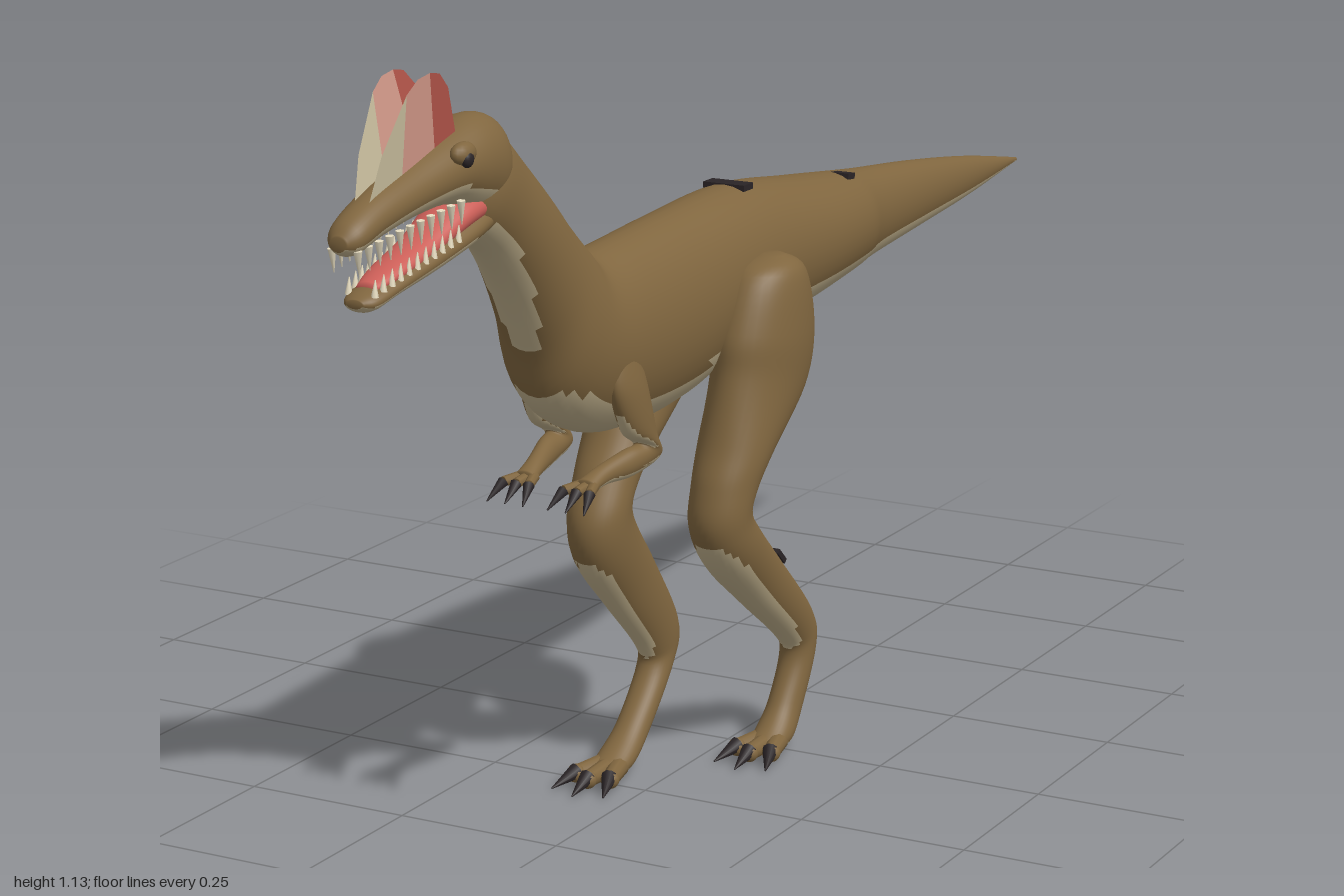
import * as THREE from 'three';

const mat = (name, color, side = THREE.FrontSide) => {
  const m = new THREE.MeshStandardMaterial({ color, side });
  m.name = name;
  return m;
};
const brown = mat('brown hide', 0x80663f);
const cream = mat('pale underside', 0xc0b08c);
const dark = mat('dark claw', 0x2a2426);
const ivory = mat('tooth ivory', 0xe6dcc0);
const pink = mat('mouth pink', 0xcc5f58);
const crestPale = mat('crest pale', 0xcabf9f, THREE.DoubleSide);
const crestPink = mat('crest pink', 0xd49a8a, THREE.DoubleSide);
const crestRed = mat('crest red', 0xb4564a, THREE.DoubleSide);

const SIDES = 36, STEPS = 6;

// Catmull-Rom blend of all the numbers in four neighbouring stations
const blend = (p0, p1, p2, p3, t) => p1.map((b, k) => {
  const a = p0[k], c = p2[k], d = p3[k];
  return 0.5 * (2 * b + (c - a) * t + (2 * a - 5 * b + 4 * c - d) * t * t + (3 * b - a - 3 * c + d) * t * t * t);
});

// Smooth skin over oval rings: [zTop, yTop, zBottom, yBottom, xCentre, halfWidth].
// Faces that look downward take the second material.
function loft(name, stations, materials = [brown, cream], limit = -0.42) {
  const rings = [], n = stations.length;
  for (let i = 0; i < n - 1; i++) {
    for (let s = 0; s < STEPS; s++) {
      rings.push(blend(stations[Math.max(i - 1, 0)], stations[i], stations[i + 1], stations[Math.min(i + 2, n - 1)], s / STEPS));
    }
  }
  rings.push(stations[n - 1]);
  const pos = [];
  for (const [zt, yt, zb, yb, x, w] of rings) {
    for (let j = 0; j < SIDES; j++) {
      const a = j / SIDES * Math.PI * 2, c = Math.cos(a) / 2;
      pos.push(x + Math.max(w, 0.001) * Math.sin(a), (yt + yb) / 2 + (yt - yb) * c, (zt + zb) / 2 + (zt - zb) * c);
    }
  }
  const last = rings.length - 1, start = rings.length * SIDES;
  for (const r of [rings[0], rings[last]]) pos.push(r[4], (r[1] + r[3]) / 2, (r[0] + r[2]) / 2);
  const tris = [];
  for (let j = 0; j < SIDES; j++) {
    const k = (j + 1) % SIDES;
    for (let i = 0; i < last; i++) {
      const a = i * SIDES, b = a + SIDES;
      tris.push([a + j, b + j, a + k], [a + k, b + j, b + k]);
    }
    tris.push([start, j, k], [start + 1, last * SIDES + k, last * SIDES + j]);
  }
  const upper = [], lower = [], tri = new THREE.Triangle(), normal = new THREE.Vector3();
  const at = (v, i) => v.fromArray(pos, i * 3);
  for (const t of tris) {
    at(tri.a, t[0]); at(tri.b, t[1]); at(tri.c, t[2]);
    tri.getNormal(normal);
    (normal.y < limit ? lower : upper).push(...t);
  }
  const g = new THREE.BufferGeometry();
  g.setAttribute('position', new THREE.Float32BufferAttribute(pos, 3));
  g.setIndex([...upper, ...lower]);
  g.addGroup(0, upper.length, 0);
  g.addGroup(upper.length, lower.length, 1);
  g.computeVertexNormals();
  const mesh = new THREE.Mesh(g, materials);
  mesh.name = name;
  return mesh;
}

// Tapered rod from point a to point b
function rod(name, a, b, ra, rb, material, sides = 10) {
  const A = new THREE.Vector3(...a), B = new THREE.Vector3(...b), d = B.clone().sub(A);
  const mesh = new THREE.Mesh(new THREE.CylinderGeometry(rb, ra, d.length(), sides), material);
  mesh.position.copy(A).add(B).multiplyScalar(0.5);
  mesh.quaternion.setFromUnitVectors(new THREE.Vector3(0, 1, 0), d.normalize());
  mesh.name = name;
  return mesh;
}

function ball(name, p, r, material, scale = [1, 1, 1]) {
  const mesh = new THREE.Mesh(new THREE.SphereGeometry(r, 16, 12), material);
  mesh.position.set(...p);
  mesh.scale.set(...scale);
  mesh.name = name;
  return mesh;
}

function plate(name, p, size, tilt) {
  const mesh = new THREE.Mesh(new THREE.BoxGeometry(...size), dark);
  mesh.position.set(...p);
  mesh.rotation.x = tilt;
  mesh.name = name;
  return mesh;
}

// One leg; the reach grows toward the foot to give the stride
function makeLeg(side, stride) {
  const leg = new THREE.Group();
  leg.name = side > 0 ? 'leftLeg' : 'rightLeg';
  const reach = y => stride * Math.pow(Math.max(0, 1 - y / 0.6), 1.3);
  leg.add(loft('legSkin', [
    [0.06, 0.757, 0.03, 0.757, 0.095, 0.015], [0.12, 0.737, -0.015, 0.73, 0.092, 0.05],
    [0.16, 0.66, -0.04, 0.64, 0.089, 0.063], [0.17, 0.60, -0.015, 0.555, 0.089, 0.059],
    [0.195, 0.51, 0.09, 0.475, 0.087, 0.053], [0.218, 0.45, 0.122, 0.435, 0.085, 0.047],
    [0.225, 0.385, 0.13, 0.41, 0.083, 0.045], [0.185, 0.32, 0.10, 0.375, 0.083, 0.044],
    [0.09, 0.245, 0.02, 0.305, 0.08, 0.036], [-0.02, 0.165, -0.09, 0.2, 0.077, 0.029],
    [-0.043, 0.13, -0.105, 0.14, 0.077, 0.026], [-0.012, 0.07, -0.065, 0.05, 0.075, 0.025],
    [0.018, 0.04, -0.02, 0.006, 0.075, 0.028], [0.045, 0.024, 0.04, 0.006, 0.075, 0.022],
  ].map(([zf, yf, zb, yb, x, w]) => [zf + reach(yf), yf, zb + reach(yb), yb, x * side, w])));
  for (const k of [-1, 0, 1]) {
    const x = 0.075 * side, z = stride * 0.97, long = k ? 0 : 0.015;
    const knuckle = [x + k * 0.028, 0.017, z + 0.06 + long];
    leg.add(rod('toe', [x + k * 0.012, 0.018, z + 0.005], knuckle, 0.015, 0.012, brown));
    leg.add(ball('toeTip', knuckle, 0.0135, brown));
    leg.add(rod('toeClaw', [x + k * 0.027, 0.021, z + 0.06 + long], [x + k * 0.042, 0.006, z + 0.105 + long], 0.012, 0.001, dark));
  }
  return leg;
}

function makeArm(side) {
  const arm = new THREE.Group();
  arm.name = side > 0 ? 'leftArm' : 'rightArm';
  arm.add(loft('armSkin', [
    [0.45, 0.69, 0.39, 0.69, 0.068, 0.012], [0.455, 0.64, 0.375, 0.64, 0.071, 0.019],
    [0.425, 0.58, 0.355, 0.57, 0.072, 0.02], [0.385, 0.557, 0.34, 0.53, 0.07, 0.018],
    [0.41, 0.553, 0.40, 0.514, 0.064, 0.016], [0.46, 0.54, 0.453, 0.513, 0.052, 0.014],
    [0.495, 0.528, 0.49, 0.508, 0.047, 0.016],
  ].map(([a, b, c, d, x, w]) => [a, b, c, d, x * side, w])));
  for (const k of [-1, 0, 1]) {
    const x = 0.047 * side, tip = [x + k * 0.02, 0.517, 0.515];
    arm.add(rod('finger', [x + k * 0.008, 0.519, 0.482], tip, 0.008, 0.007, brown, 8));
    arm.add(rod('fingerClaw', tip, [x + k * 0.028, 0.496, 0.545], 0.008, 0.001, dark, 8));
  }
  return arm;
}

// Flat crest panel given as [z, y] corners, leaning outward with height
function crestPanel(name, side, corners, material) {
  const g = new THREE.BufferGeometry();
  g.setAttribute('position', new THREE.Float32BufferAttribute(
    corners.flatMap(([z, y]) => [side * (0.012 + (y - 1) * 0.115), y, z]), 3));
  g.setIndex(corners.slice(2).flatMap((_, i) => [0, i + 1, i + 2]));
  g.computeVertexNormals();
  const mesh = new THREE.Mesh(g, material);
  mesh.name = name;
  return mesh;
}

function makeHead() {
  const head = new THREE.Group();
  head.name = 'head';
  head.add(loft('skullAndUpperJaw', [
    [0.64, 1.02, 0.66, 0.95, 0, 0.03], [0.665, 1.05, 0.675, 0.925, 0, 0.048],
    [0.71, 1.058, 0.72, 0.935, 0, 0.053], [0.77, 1.043, 0.775, 0.952, 0, 0.048],
    [0.85, 1.018, 0.85, 0.95, 0, 0.038], [0.93, 0.994, 0.93, 0.938, 0, 0.031],
    [0.98, 0.972, 0.98, 0.926, 0, 0.026], [1.0, 0.953, 1.0, 0.934, 0, 0.012],
  ]));
  head.add(loft('lowerJaw', [
    [0.68, 0.95, 0.69, 0.9, 0, 0.036], [0.74, 0.935, 0.74, 0.889, 0, 0.04],
    [0.82, 0.913, 0.82, 0.873, 0, 0.036], [0.90, 0.89, 0.90, 0.86, 0, 0.03],
    [0.95, 0.876, 0.95, 0.85, 0, 0.025], [0.967, 0.868, 0.967, 0.857, 0, 0.012],
  ]));
  head.add(loft('tongue', [
    [0.70, 0.965, 0.70, 0.92, 0, 0.036], [0.75, 0.957, 0.75, 0.91, 0, 0.036],
    [0.82, 0.925, 0.82, 0.89, 0, 0.029], [0.90, 0.899, 0.90, 0.875, 0, 0.024],
    [0.94, 0.884, 0.94, 0.87, 0, 0.015],
  ], [pink, pink]));
  for (const s of [-1, 1]) {
    // Teeth along both jaws
    for (let i = 0; i < 11; i++) {
      const t = i / 10, zu = 0.78 + 0.205 * t, zl = 0.78 + 0.17 * t;
      const yu = 0.962 - 0.027 * t, xu = s * (0.039 - 0.02 * t);
      head.add(rod('upperTooth', [xu, yu, zu], [xu * 0.97, yu - 0.031, zu - 0.003], 0.006, 0.0006, ivory, 6));
      const yl = 0.908 - 0.038 * t, xl = s * (0.034 - 0.015 * t);
      head.add(rod('lowerTooth', [xl, yl, zl], [xl, yl + 0.022, zl - 0.002], 0.005, 0.0006, ivory, 6));
    }
    // Brow, eye and the twin crest
    head.add(ball('brow', [s * 0.04, 1.021, 0.775], 0.017, brown, [0.8, 0.9, 1.4]));
    head.add(ball('eye', [s * 0.048, 1.015, 0.778], 0.011, dark, [0.7, 1, 1]));
    head.add(crestPanel('crestFront', s, [[0.945, 0.985], [0.925, 1.04], [0.878, 1.11], [0.873, 1.0]], crestPale));
    head.add(crestPanel('crestMiddle', s, [[0.873, 1.0], [0.878, 1.11], [0.855, 1.126], [0.828, 1.13], [0.797, 1.01]], crestPink));
    head.add(crestPanel('crestRear', s, [[0.797, 1.01], [0.828, 1.13], [0.805, 1.126], [0.782, 1.105], [0.752, 1.035]], crestRed));
  }
  return head;
}

export function createModel() {
  const model = new THREE.Group();
  model.name = 'crestedDinosaur';
  // Tail, trunk and neck in one skin
  model.add(loft('body', [
    [-1, 0.703, -1, 0.697, 0, 0.003], [-0.8, 0.74, -0.8, 0.675, 0, 0.022],
    [-0.6, 0.768, -0.6, 0.66, 0, 0.038], [-0.42, 0.788, -0.42, 0.647, 0, 0.052],
    [-0.33, 0.799, -0.33, 0.64, 0, 0.072], [-0.2, 0.816, -0.2, 0.628, 0, 0.085],
    [0, 0.84, 0, 0.607, 0, 0.088], [0.2, 0.833, 0.2, 0.565, 0, 0.088],
    [0.34, 0.824, 0.36, 0.562, 0, 0.086], [0.42, 0.822, 0.46, 0.585, 0, 0.082],
    [0.455, 0.848, 0.53, 0.635, 0, 0.076], [0.50, 0.888, 0.562, 0.715, 0, 0.067],
    [0.55, 0.938, 0.61, 0.80, 0, 0.06], [0.60, 0.985, 0.66, 0.86, 0, 0.054],
    [0.65, 1.03, 0.715, 0.902, 0, 0.05], [0.685, 1.045, 0.74, 0.93, 0, 0.035],
  ]));
  model.add(makeHead(), makeLeg(1, 0), makeLeg(-1, 0.215), makeArm(1), makeArm(-1));
  // Small dark hide markings
  model.add(plate('backMarking', [0, 0.837, 0.0], [0.066, 0.009, 0.028], 0));
  model.add(plate('tailMarking', [0.02, 0.795, -0.325], [0.03, 0.009, 0.022], -0.1));
  model.add(plate('shinMarking', [0.082, 0.302, 0.015], [0.03, 0.008, 0.03], -0.75));
  return model;
}
